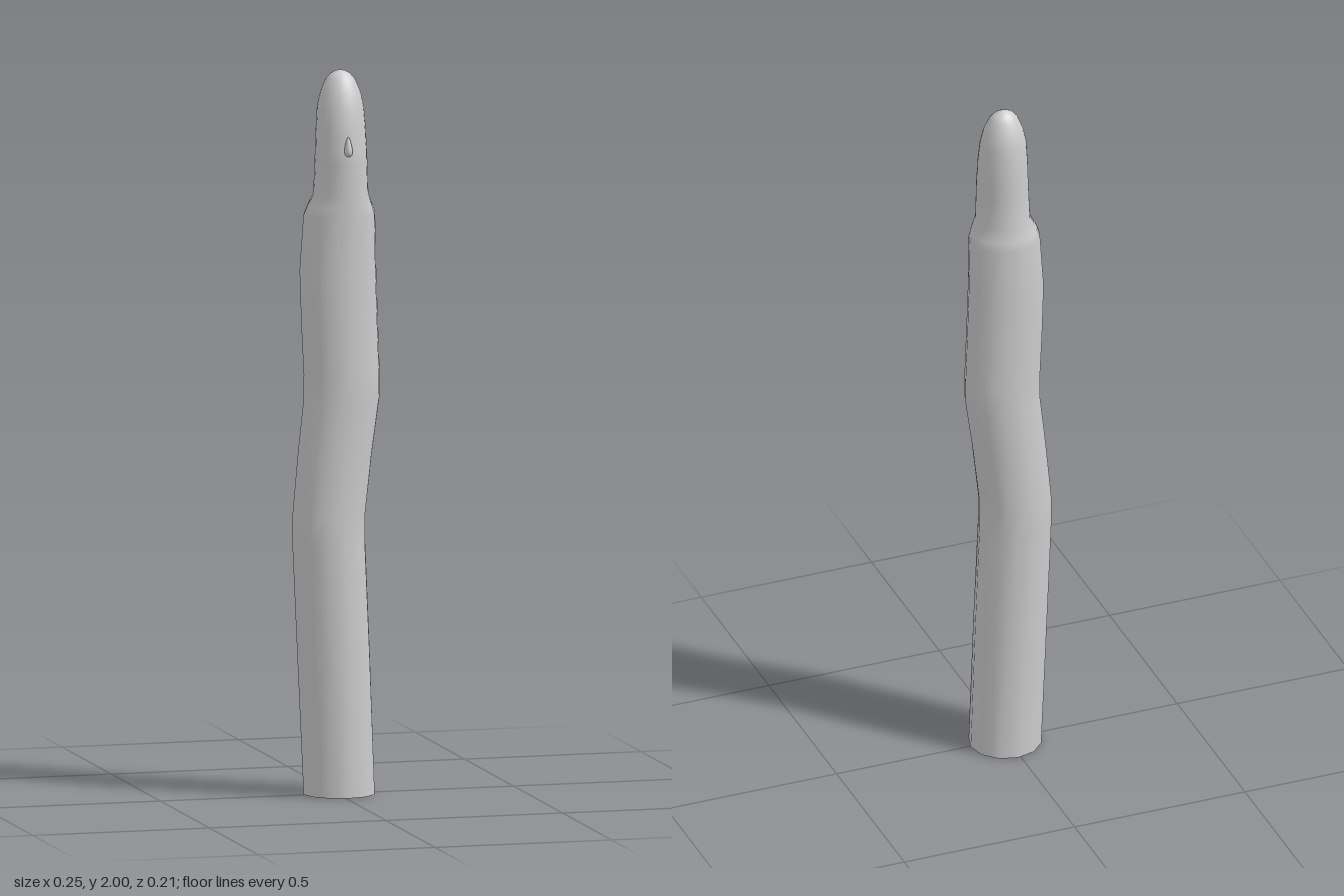
import * as THREE from 'three';

const SIDES = 24;

// Rings from bottom to top: [y, xMin, xMax, zMin, zMax]
const RINGS = [
  [0, -0.093, 0.108, -0.104, 0.095],
  [0.38, -0.111, 0.094, -0.099, 0.094],
  [0.7, -0.126, 0.08, -0.094, 0.093],
  [0.77, -0.126, 0.08, -0.093, 0.093],
  [0.94, -0.111, 0.099, -0.09, 0.092],
  [1.09, -0.095, 0.12, -0.088, 0.091],
  [1.16, -0.094, 0.121, -0.088, 0.09],
  [1.3, -0.101, 0.116, -0.087, 0.089],
  [1.45, -0.106, 0.111, -0.085, 0.088],
  [1.6, -0.096, 0.107, -0.081, 0.09],
  [1.625, -0.086, 0.099, -0.077, 0.09],
  [1.66, -0.067, 0.083, -0.067, 0.09],
  [1.75, -0.064, 0.079, -0.063, 0.092],
  [1.785, -0.063, 0.078, -0.061, 0.091],
  [1.81, -0.062, 0.077, -0.06, 0.085],
  [1.84, -0.061, 0.075, -0.058, 0.086],
  [1.9, -0.057, 0.071, -0.053, 0.074],
  [1.94, -0.048, 0.062, -0.042, 0.062],
  [1.975, -0.034, 0.047, -0.026, 0.045],
  [1.99, -0.021, 0.034, -0.012, 0.032],
  [1.998, -0.006, 0.018, 0.002, 0.018],
];

function loftGeometry() {
  const pos = [], idx = [];
  for (const [y, x0, x1, z0, z1] of RINGS) {
    for (let i = 0; i < SIDES; i++) {
      const a = (i / SIDES) * Math.PI * 2;
      // the body is twelve-sided, the head is round
      const k = i % 2 && y < 1.65 ? Math.cos(Math.PI / 12) : 1;
      pos.push((x0 + x1) / 2 + ((x1 - x0) / 2) * k * Math.sin(a), y,
        (z0 + z1) / 2 + ((z1 - z0) / 2) * k * Math.cos(a));
    }
  }
  for (let r = 0; r < RINGS.length - 1; r++) {
    for (let i = 0; i < SIDES; i++) {
      const j = (i + 1) % SIDES, a = r * SIDES, b = a + SIDES;
      idx.push(a + i, a + j, b + j, a + i, b + j, b + i);
    }
  }
  // crown of the head
  const top = RINGS.length * SIDES;
  pos.push(0.006, 2, 0.01);
  for (let i = 0; i < SIDES; i++) {
    idx.push(top - SIDES + i, top - SIDES + ((i + 1) % SIDES), top);
  }
  const g = new THREE.BufferGeometry();
  g.setAttribute('position', new THREE.Float32BufferAttribute(pos, 3));
  g.setIndex(idx);
  g.computeVertexNormals();
  return g;
}

export function createModel() {
  const group = new THREE.Group();
  const material = new THREE.MeshStandardMaterial({ color: 0xcccccc, side: THREE.DoubleSide });

  // bent body, neck and rounded head, open at the bottom
  const body = new THREE.Mesh(loftGeometry(), material);
  body.name = 'body';
  group.add(body);

  // small nose with its tip near the lower end
  const noseGeo = new THREE.SphereGeometry(1, 12, 8);
  const p = noseGeo.attributes.position;
  for (let i = 0; i < p.count; i++) {
    const y = p.getY(i), narrow = y > 0 ? 1 - 0.4 * y : 1;
    p.setXYZ(i, p.getX(i) * 0.012 * narrow, y * (y > 0 ? 0.04 : 0.016), p.getZ(i) * 0.016 * narrow);
  }
  noseGeo.computeVertexNormals();
  const nose = new THREE.Mesh(noseGeo, material);
  nose.name = 'nose';
  nose.position.set(0.008, 1.785, 0.088);
  group.add(nose);

  return group;
}
